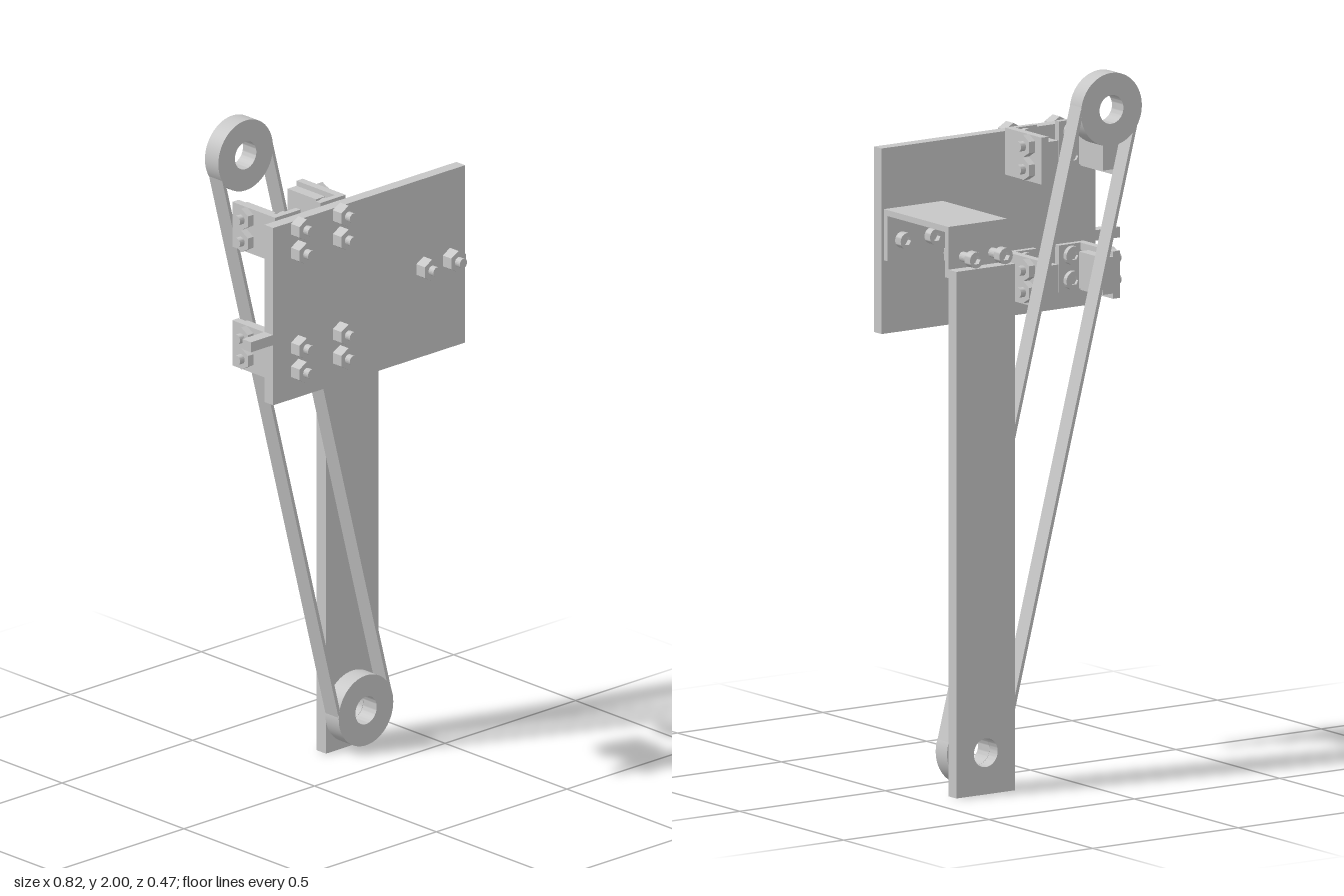
import * as THREE from 'three';
import { toCreasedNormals } from 'three/addons/utils/BufferGeometryUtils.js';

export function createModel() {
  const model = new THREE.Group();
  const steel = new THREE.MeshStandardMaterial({ color: 0xc6c6c6 });
  steel.name = 'light grey steel';

  const add = (parent, name, geo) => {
    const mesh = new THREE.Mesh(geo, steel);
    mesh.name = name;
    parent.add(mesh);
    return mesh;
  };
  // Box given by its limits on each axis
  const box = (parent, name, x0, x1, y0, y1, z0, z1) =>
    add(parent, name, new THREE.BoxGeometry(x1 - x0, y1 - y0, z1 - z0))
      .position.set((x0 + x1) / 2, (y0 + y1) / 2, (z0 + z1) / 2);
  // Shape in xy, extruded from z0 to z1
  const extrude = (shape, z0, z1) => {
    const geo = new THREE.ExtrudeGeometry(shape, { depth: z1 - z0, bevelEnabled: false, curveSegments: 32 });
    return toCreasedNormals(geo.translate(0, 0, z0), 0.6);
  };
  const circle = (r, x = 0, y = 0) => new THREE.Path().absarc(x, y, r, 0, Math.PI * 2, true);
  // Round or hexagonal rod along z
  const rod = (r, z0, z1, sides) => toCreasedNormals(
    new THREE.CylinderGeometry(r, r, z1 - z0, sides).rotateX(Math.PI / 2).translate(0, 0, (z0 + z1) / 2), 0.6);

  // Bolt along +z: origin at the nut seat, head at depth -grip
  function bolt(name, grip, nutH, tipH, headR, headH) {
    const g = new THREE.Group();
    g.name = name;
    add(g, 'shank', rod(0.014, -grip, tipH, 20));
    add(g, 'nut', rod(0.032, 0, nutH, 6));
    if (headR) {
      const rim = new THREE.Shape().absarc(0, 0, headR, 0, Math.PI * 2);
      const socket = new THREE.Path();
      for (let i = 0; i < 6; i++) {
        const a = -i * Math.PI / 3;
        socket[i ? 'lineTo' : 'moveTo'](0.013 * Math.cos(a), 0.013 * Math.sin(a));
      }
      socket.closePath();
      rim.holes.push(socket);
      add(g, 'socketHead', extrude(rim, -grip - headH, -grip - headH * 0.4));
      add(g, 'headBase', rod(headR, -grip - headH * 0.4, -grip, 32));
    }
    model.add(g);
    return g;
  }

  // Front plate with side tab
  box(model, 'mountingPlate', -0.325, 0.41, 1.27, 1.80, 0.143, 0.179);
  box(model, 'plateTab', -0.41, -0.325, 1.45, 1.48, 0.143, 0.179);

  // Long arm with axle hole
  const AX = 0.301, AY = 0.119;
  const armShape = new THREE.Shape();
  armShape.moveTo(0.2, 0).lineTo(0.402, 0).lineTo(0.402, 1.504).lineTo(0.2, 1.504).closePath();
  armShape.holes.push(circle(0.041, AX, AY));
  add(model, 'arm', extrude(armShape, -0.206, -0.167));

  // Channel bracket joining plate and arm
  const channel = new THREE.Group();
  channel.name = 'channelBracket';
  model.add(channel);
  box(channel, 'channelTop', 0.2, 0.402, 1.609, 1.626, -0.167, 0.143);
  box(channel, 'channelFrontLeg', 0.2, 0.402, 1.48, 1.609, 0.127, 0.143);
  box(channel, 'channelBackLeg', 0.2, 0.402, 1.48, 1.609, -0.167, -0.150);
  for (const x of [0.251, 0.352]) {
    bolt('channelFrontBolt', 0.052, 0.035, 0.055, 0.023, 0.027).position.set(x, 1.536, 0.179);
    bolt('channelBackBolt', 0.056, 0.036, 0.056, 0.023, 0.028).position.set(x, 1.536, -0.150);
  }

  // Pulleys
  const TX = -0.16, TY = 1.8955, R = 0.1045;
  for (const [name, x, y] of [['upperPulley', TX, TY], ['lowerPulley', AX, AY]]) {
    const wheel = new THREE.Shape().absarc(0, 0, R, 0, Math.PI * 2);
    wheel.holes.push(circle(0.041));
    add(model, name, extrude(wheel, -0.166, -0.111)).position.set(x, y, 0);
  }

  // Two straight belt runs between the pulley rims
  const belt = new THREE.Group();
  belt.name = 'belt';
  belt.position.set(AX, AY, 0);
  belt.rotation.z = Math.atan2(AX - TX, TY - AY);
  model.add(belt);
  const span = Math.hypot(TX - AX, TY - AY);
  box(belt, 'rightBeltRun', -0.1, -0.09, 0, span, -0.1655, -0.1115);
  box(belt, 'leftBeltRun', 0.094, 0.104, 0, span, -0.1655, -0.1115);

  // Four angle brackets with guide pads, mirrored about x = -0.149
  const CX = -0.149;
  for (const [y0, y1, frontYs, sideYs] of [
    [1.676, 1.81, [1.779, 1.708], [1.779, 1.713]],
    [1.321, 1.456, [1.424, 1.353], [1.424, 1.362]],
  ]) {
    for (const s of [-1, 1]) {
      const angle = new THREE.Group();
      angle.name = s < 0 ? 'rightAngleBracket' : 'leftAngleBracket';
      model.add(angle);
      const part = (name, a, b, z0, z1, inset) =>
        box(angle, name, CX + Math.min(s * a, s * b), CX + Math.max(s * a, s * b), y0 + inset, y1 - inset, z0, z1);
      part('sideFlange', 0.111, 0.135, -0.033, 0.143, 0);
      part('baseFlange', 0.038, 0.111, 0.124, 0.143, 0);
      part('guidePad', 0.077, 0.111, -0.033, 0.084, 0.015);
      for (const y of frontYs)
        bolt('plateBolt', 0.055, 0.035, 0.055, 0.027, 0.015).position.set(CX + s * 0.08, y, 0.179);
      for (const y of sideYs) {
        const b = bolt('sideBolt', 0.05, 0.021, 0.038);
        b.position.set(CX + s * 0.135, y, 0.026);
        b.rotation.y = s * Math.PI / 2;
      }
    }
  }
  return model;
}
